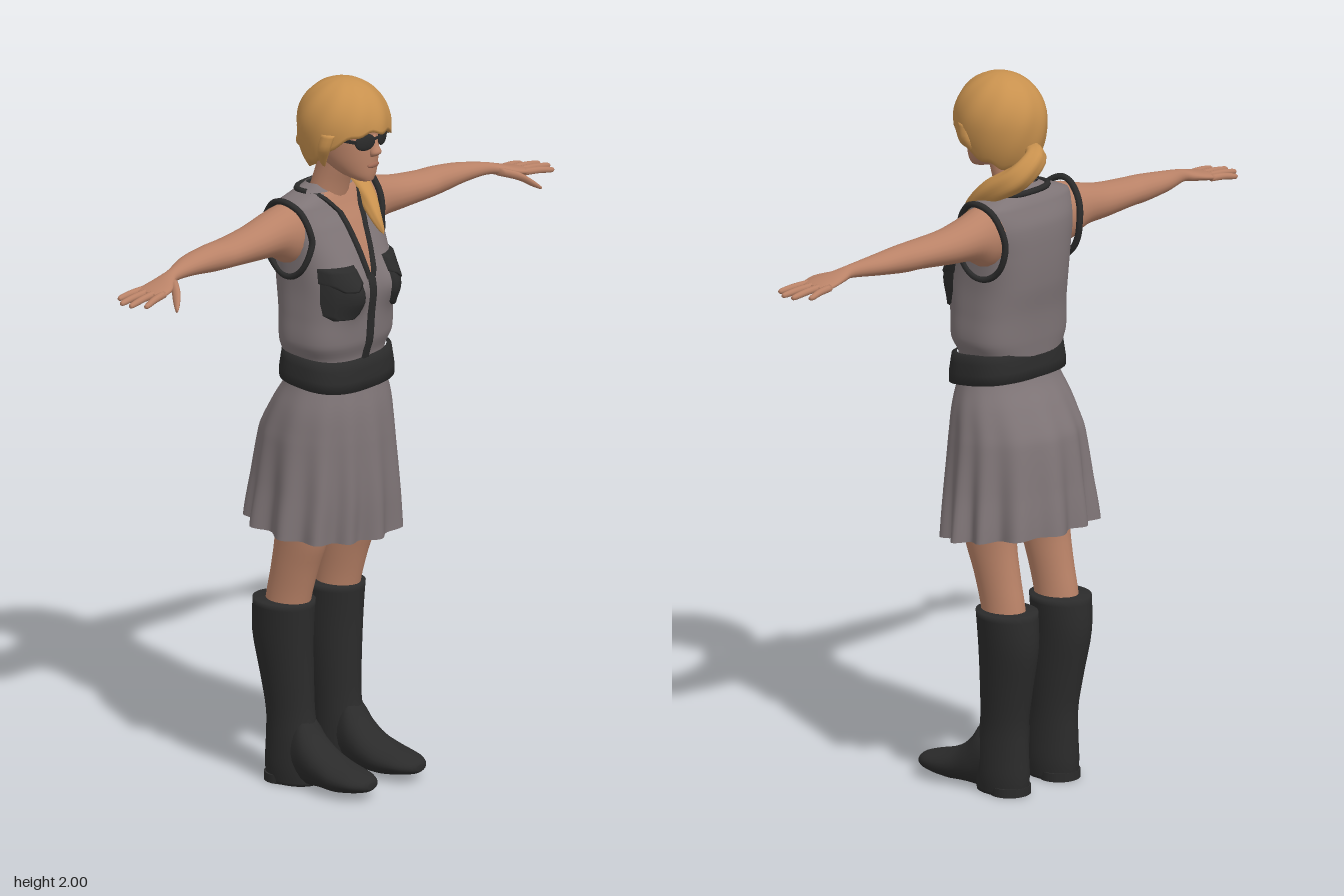
import * as THREE from 'three';

const V = (x, y, z) => new THREE.Vector3(x, y, z);
const mat = (name, color, side = THREE.FrontSide) => {
  const m = new THREE.MeshStandardMaterial({ color, side });
  m.name = name;
  return m;
};

// Surface from rows and columns; wrapped surfaces are turned to face outwards.
function grid(fn, nv, nu, wrap = true) {
  const pos = [], idx = [], cols = wrap ? nu : nu + 1;
  for (let i = 0; i <= nv; i++)
    for (let j = 0; j < cols; j++) pos.push(...fn(i / nv, j / nu, i).toArray());
  for (let i = 0; i < nv; i++)
    for (let j = 0; j < nu; j++) {
      const k = (j + 1) % cols, a = i * cols + j, b = a + cols, c = (i + 1) * cols + k, d = i * cols + k;
      idx.push(a, b, c, a, c, d);
    }
  const g = new THREE.BufferGeometry();
  g.setAttribute('position', new THREE.Float32BufferAttribute(pos, 3));
  if (wrap) {
    g.computeBoundingBox();
    const mid = g.boundingBox.getCenter(V(0, 0, 0));
    const p = i => V(pos[3 * i], pos[3 * i + 1], pos[3 * i + 2]).sub(mid);
    let vol = 0;
    for (let i = 0; i < idx.length; i += 3) vol += p(idx[i]).dot(p(idx[i + 1]).cross(p(idx[i + 2])));
    if (vol < 0) idx.reverse();
  }
  g.setIndex(idx);
  g.computeVertexNormals();
  return g;
}

// Smooth interpolation between the rows of a table.
function smooth(t, table) {
  const n = table.length - 1, i = Math.min(n - 1, Math.max(0, Math.floor(t))), f = t - i;
  const r = k => table[Math.min(n, Math.max(0, k))];
  return r(i).map((b, c) => {
    const a = r(i - 1)[c], d = r(i + 1)[c], e = r(i + 2)[c];
    return b + 0.5 * f * (d - a + f * (2 * a - 5 * b + 4 * d - e + f * (3 * (b - d) + e - a)));
  });
}
function atHeight(table, y) { // first column holds y, ascending
  let i = 0;
  while (i < table.length - 2 && y > table[i + 1][0]) i++;
  return smooth(i + THREE.MathUtils.clamp((y - table[i][0]) / (table[i + 1][0] - table[i][0]), 0, 1), table);
}

// Rounded body through stations [x, y, z, radiusA, radiusB], sections square to an axis.
function limb(st, axis, nu = 18) {
  const rows = (st.length - 1) * 4;
  return grid((v, u, i) => {
    const k = THREE.MathUtils.clamp(i - 1, 0, rows), end = i === 0 || i === rows + 2;
    const [x, y, z, ra, rb] = smooth(k / 4, st), w = u * Math.PI * 2;
    const a = end ? 0 : ra * Math.cos(w), b = end ? 0 : rb * Math.sin(w);
    return axis === 'x' ? V(x, y + a, z + b) : axis === 'y' ? V(x + a, y, z + b) : V(x + a, Math.max(0.004, y + b), z);
  }, rows + 2, nu);
}

// Blouse sections: y, half width, front z, back z
const TORSO = [[1.16, 0.153, 0.14, -0.09], [1.22, 0.145, 0.13, -0.093], [1.27, 0.166, 0.145, -0.097],
  [1.35, 0.163, 0.15, -0.102], [1.43, 0.16, 0.153, -0.113], [1.52, 0.165, 0.125, -0.116],
  [1.6, 0.174, 0.085, -0.11], [1.66, 0.166, 0.05, -0.085], [1.685, 0.088, 0.038, -0.065], [1.7, 0.06, 0.02, -0.05]];
const N = 2.7;
const pw = c => Math.sign(c) * Math.abs(c) ** (2 / N);
const bust = (x, y) => 0.03 * Math.exp(-(((Math.abs(x) - 0.085) / 0.05) ** 2) - ((y - 1.42) / 0.06) ** 2);
function torsoPoint(w, y) {
  const [, rx, f, b] = atHeight(TORSO, y), x = rx * pw(Math.cos(w)), s = pw(Math.sin(w));
  return V(x, y, (f + b) / 2 + (f - b) / 2 * s + bust(x, y) * Math.max(0, s));
}
function frontZ(x, y) {
  const [, rx, f, b] = atHeight(TORSO, y);
  const s = Math.max(0, 1 - Math.abs(x / rx) ** N) ** (1 / N);
  return (f + b) / 2 + (f - b) / 2 * s + bust(x, y) * s;
}
function sideX(y, z) {
  const [, rx, f, b] = atHeight(TORSO, y);
  return rx * Math.max(0, 1 - Math.abs((z - (f + b) / 2) / ((f - b) / 2)) ** N) ** (1 / N);
}
// Thin cloth piece lying on the blouse front; rows [y, xMin, xMax] from top to bottom
function patch(rows, lift) {
  const per = 6, nv = (rows.length - 1) * per, nu = 10;
  return grid((v, u, i) => {
    const k = Math.min(rows.length - 2, Math.floor(i / per)), f = i / per - k;
    const [y, a, b] = rows[k].map((c, q) => c + (rows[k + 1][q] - c) * f), x = a + (b - a) * u;
    const edge = u === 0 || u === 1 || i === 0 || i === nv;
    return V(x, y, frontZ(x, y) + (edge ? 0.001 : lift));
  }, nv, nu, false);
}

export function createModel() {
  const root = new THREE.Group();
  const skin = mat('skin', 0xb98267), lip = mat('lips', 0x9f6a55), hair = mat('hair', 0xc8914e);
  const cloth = mat('grey cloth', 0x7f7577, THREE.DoubleSide), dark = mat('black leather', 0x2b2b2b);
  const add = (name, geo, m) => {
    const mesh = new THREE.Mesh(geo, m);
    mesh.name = name;
    root.add(mesh);
    return mesh;
  };
  const tube = (pts, r, closed) => new THREE.TubeGeometry(new THREE.CatmullRomCurve3(pts, closed), 48, r, 8, closed);

  // Head and face
  add('head', limb([[0, 1.726, 0.125, 0.024, 0.025], [0, 1.745, 0.098, 0.048, 0.057], [0, 1.78, 0.07, 0.067, 0.088],
    [0, 1.82, 0.055, 0.077, 0.104], [0, 1.86, 0.05, 0.082, 0.108], [0, 1.9, 0.047, 0.085, 0.11],
    [0, 1.94, 0.045, 0.072, 0.09], [0, 1.965, 0.045, 0.045, 0.05]], 'y', 28), skin);
  add('nose', limb([[0, 1.858, 0.153, 0.008, 0.008], [0, 1.83, 0.158, 0.011, 0.014],
    [0, 1.81, 0.163, 0.017, 0.017], [0, 1.798, 0.157, 0.013, 0.008]], 'y'), skin);
  const mouth = add('lips', new THREE.SphereGeometry(1, 16, 10), lip);
  mouth.scale.set(0.024, 0.008, 0.007);
  mouth.position.set(0, 1.772, 0.156);
  add('neck', limb([[0, 1.63, -0.012, 0.066, 0.055], [0, 1.7, 0.008, 0.056, 0.052],
    [0, 1.76, 0.028, 0.051, 0.055], [0, 1.82, 0.04, 0.05, 0.06]], 'y'), skin);

  // Sunglasses
  for (const s of [1, -1]) {
    const lens = add('lens', new THREE.SphereGeometry(1, 18, 12), dark);
    lens.scale.set(0.032, 0.024, 0.007);
    lens.position.set(s * 0.037, 1.845, 0.157);
    lens.rotation.y = s * 0.35;
    const temple = add('glassesArm', new THREE.BoxGeometry(0.005, 0.009, 0.11), dark);
    temple.position.set(s * 0.077, 1.85, 0.1);
    temple.rotation.y = -s * 0.15;
  }
  add('glassesBridge', new THREE.BoxGeometry(0.03, 0.006, 0.006), dark).position.set(0, 1.85, 0.166);

  // Hair cap with a swept fringe, low at the nape, and an inward lip
  const EDGE = [[-1, 1.745], [-0.5, 1.76], [0, 1.79], [0.6, 1.84], [1, 1.868]];
  add('hairCap', grid((v, u, i) => {
    const w = u * Math.PI * 2, s = Math.sin(w), c = Math.cos(w), inner = i === 25;
    const low = atHeight(EDGE, s)[1] - 0.014 * c * Math.max(0, s + 0.3) + 0.005 * Math.sin(11 * w);
    const y = 2 - (2 - low) * (1 - Math.cos(Math.min(1, i / 24) * Math.PI / 2));
    const q = (y - 1.87) / (y > 1.87 ? 0.13 : 0.18);
    const r = Math.sqrt(Math.max(0, 1 - q * q)) * (1 + 0.012 * Math.sin(9 * w + 30 * y)) * (inner ? 0.78 : 1);
    return V(0.003 + 0.121 * r * c, inner ? y + 0.008 : y, 0.05 + 0.134 * r * s);
  }, 25, 72), hair);
  for (const s of [1, -1])
    add('looseLock', limb([[s * 0.108, 1.87, 0.085, 0.014, 0.022], [s * 0.113, 1.83, 0.075, 0.014, 0.02],
      [s * 0.1, 1.795, 0.06, 0.01, 0.014], [s * 0.088, 1.77, 0.055, 0.003, 0.004]], 'y', 10), hair);

  // Ponytail brought forward over the left shoulder
  const tail = new THREE.CatmullRomCurve3([V(0, 1.8, -0.06), V(0.03, 1.79, -0.1), V(0.08, 1.745, -0.085),
    V(0.1, 1.695, -0.01), V(0.085, 1.64, 0.065), V(0.06, 1.6, 0.115), V(0.06, 1.555, 0.145)]);
  const fr = tail.computeFrenetFrames(32);
  add('ponytail', grid((v, u, i) => {
    const w = u * Math.PI * 2, r = 0.04 * Math.sin(Math.PI * (0.12 + 0.88 * v)) ** 0.55 * (1 - 0.3 * v) * (1 + 0.06 * Math.sin(5 * w + 9 * v));
    return tail.getPointAt(v).addScaledVector(fr.normals[i], r * Math.cos(w)).addScaledVector(fr.binormals[i], r * Math.sin(w));
  }, 32, 30), hair);

  // Sleeveless blouse
  add('blouse', grid((v, u) => torsoPoint(u * Math.PI * 2, 1.16 + 0.54 * v), 54, 72), cloth);
  const left = [[1.683, -0.078], [1.63, -0.034], [1.58, -0.025], [1.45, -0.012]];
  const right = [[1.683, 0.078], [1.63, 0.05], [1.58, 0.034], [1.45, 0.002]];
  add('openNeck', patch(left.map(([y, x], i) => [y, x, right[i][1]]), 0.003), skin);
  add('rightNeckTrim', patch(left.map(([y, x]) => [y, x - 0.012, x + 0.006]), 0.008), dark);
  add('leftNeckTrim', patch(right.map(([y, x]) => [y, x - 0.006, x + 0.012]), 0.008), dark);
  add('placket', patch([[1.47, -0.02, 0.01], [1.33, -0.02, 0.008], [1.2, -0.02, 0.006]], 0.007), dark);
  const collar = [];
  for (let i = 0; i <= 16; i++) collar.push(torsoPoint(Math.PI * (0.95 + 1.1 * i / 16), 1.684));
  add('backNeckTrim', tube(collar, 0.009, false), dark);

  for (const s of [1, -1]) {
    const flip = rows => rows.map(([y, a, b]) => (s > 0 ? [y, a, b] : [y, -b, -a]));
    add('breastPocket', patch(flip([[1.49, 0.062, 0.148], [1.4, 0.058, 0.151], [1.365, 0.066, 0.148], [1.35, 0.085, 0.13]]), 0.01), dark);
    add('pocketFlap', patch(flip([[1.497, 0.06, 0.15], [1.455, 0.058, 0.151], [1.43, 0.095, 0.115]]), 0.015), dark);

    // Armhole edging
    const hole = [];
    for (let i = 0; i < 20; i++) {
      const a = i / 20 * Math.PI * 2, y = 1.567 + 0.108 * Math.sin(a), z = -0.018 + 0.082 * Math.cos(a);
      hole.push(V(s * Math.max(0.15 + 0.02 * Math.max(0, Math.sin(a)), sideX(Math.min(y, 1.62), z)), y, z));
    }
    add('armholeTrim', tube(hole, 0.009, true), dark);

    // Arm, hand and fingers; the left arm reaches a little further forward
    const place = st => st.map(([x, y, z, a, b]) => [s * x, y, z + (s > 0 ? 0.16 * Math.max(0, x - 0.2) : 0), a, b]);
    add('arm', limb(place([[0.12, 1.578, -0.02, 0.086, 0.07], [0.168, 1.582, -0.022, 0.083, 0.068],
      [0.22, 1.589, -0.028, 0.062, 0.062], [0.3, 1.583, -0.033, 0.049, 0.056], [0.4, 1.582, -0.035, 0.04, 0.052],
      [0.46, 1.582, -0.04, 0.038, 0.045], [0.55, 1.582, -0.044, 0.028, 0.036], [0.63, 1.578, -0.034, 0.018, 0.021],
      [0.665, 1.57, -0.03, 0.016, 0.03], [0.7, 1.562, -0.024, 0.014, 0.044], [0.735, 1.555, -0.025, 0.012, 0.047],
      [0.752, 1.552, -0.026, 0.008, 0.044]], ), 'x', 20), skin);
    for (const [z0, z1, x1] of [[-0.061, -0.078, 0.81], [-0.038, -0.046, 0.84], [-0.014, -0.013, 0.842], [0.01, 0.022, 0.82]])
      add('finger', limb(place([[0.725, 1.555, z0, 0.01, 0.011], [(0.725 + x1) / 2, 1.552, (z0 + z1) / 2, 0.0095, 0.01],
        [x1 - 0.01, 1.546, z1, 0.008, 0.008], [x1, 1.545, z1, 0.004, 0.004]]), 'x', 10), skin);
    add('thumb', limb(place([[0.655, 1.568, -0.012, 0.012, 0.016], [0.69, 1.555, 0.025, 0.012, 0.016],
      [0.715, 1.535, 0.047, 0.01, 0.012], [0.733, 1.52, 0.062, 0.005, 0.005]]), 'x', 10), skin);

    // Leg and tall boot
    const leg = st => st.map(([x, ...r]) => [s * x, ...r]);
    add('leg', limb(leg([[0.107, 0.46, -0.065, 0.055, 0.065], [0.107, 0.54, -0.05, 0.052, 0.068], [0.107, 0.62, -0.03, 0.053, 0.072],
      [0.107, 0.72, -0.006, 0.057, 0.083], [0.1, 0.85, -0.005, 0.07, 0.088], [0.09, 1.0, -0.02, 0.085, 0.095],
      [0.075, 1.08, 0, 0.075, 0.09]]), 'y', 24), skin);
    add('bootShaft', limb(leg([[0.1, 0.002, -0.045, 0.056, 0.08], [0.1, 0.05, -0.045, 0.06, 0.084], [0.1, 0.12, -0.045, 0.058, 0.081],
      [0.1, 0.2, -0.052, 0.056, 0.074], [0.103, 0.3, -0.062, 0.061, 0.081], [0.107, 0.42, -0.073, 0.07, 0.092],
      [0.108, 0.52, -0.068, 0.078, 0.091]]), 'y', 28), dark);
    add('bootFoot', limb(leg([[0.1, 0.07, -0.06, 0.045, 0.055], [0.1, 0.1, 0, 0.055, 0.1], [0.1, 0.078, 0.04, 0.06, 0.075],
      [0.1, 0.06, 0.08, 0.064, 0.055], [0.103, 0.048, 0.13, 0.068, 0.042], [0.105, 0.044, 0.19, 0.06, 0.029],
      [0.105, 0.042, 0.225, 0.038, 0.019], [0.105, 0.04, 0.236, 0.016, 0.009]]), 'z', 24), dark);
    const heel = add('bootHeel', new THREE.CylinderGeometry(1, 1, 0.024, 24), dark);
    heel.scale.set(0.058, 1, 0.055);
    heel.position.set(s * 0.1, 0.012, -0.073);
  }

  // Wide belt, lower at the front
  const band = [[1.14, 0.152], [1.142, 0.168], [1.17, 0.168], [1.2, 0.164], [1.222, 0.161], [1.225, 0.148]];
  add('belt', grid((v, u, i) => {
    const w = u * Math.PI * 2, [y, r] = band[i], z = 0.026 + (r - 0.044) * pw(Math.sin(w));
    return V(0.003 + r * pw(Math.cos(w)), y + 0.012 - 0.12 * z, z);
  }, 5, 64), dark);

  // Flared skirt with folds that deepen towards the hem
  const SKIRT = [[0.73, 0.226, 0.172, -0.213], [0.85, 0.213, 0.174, -0.2], [1.0, 0.198, 0.167, -0.178],
    [1.08, 0.182, 0.158, -0.138], [1.17, 0.154, 0.14, -0.088]];
  add('skirt', grid((v, u) => {
    const w = u * Math.PI * 2, y = 1.17 - 0.44 * v, [, rx, f, b] = atHeight(SKIRT, y);
    const fold = 1 + v ** 1.4 * (0.065 * Math.sin(13 * w + 0.8 * Math.sin(3 * w)) + 0.025 * Math.sin(5 * w + 1));
    return V(0.01 * v + rx * fold * Math.cos(w), y - 0.02 * v * Math.sin(w), (f + b) / 2 + (f - b) / 2 * fold * Math.sin(w));
  }, 32, 156), cloth);

  return root;
}
